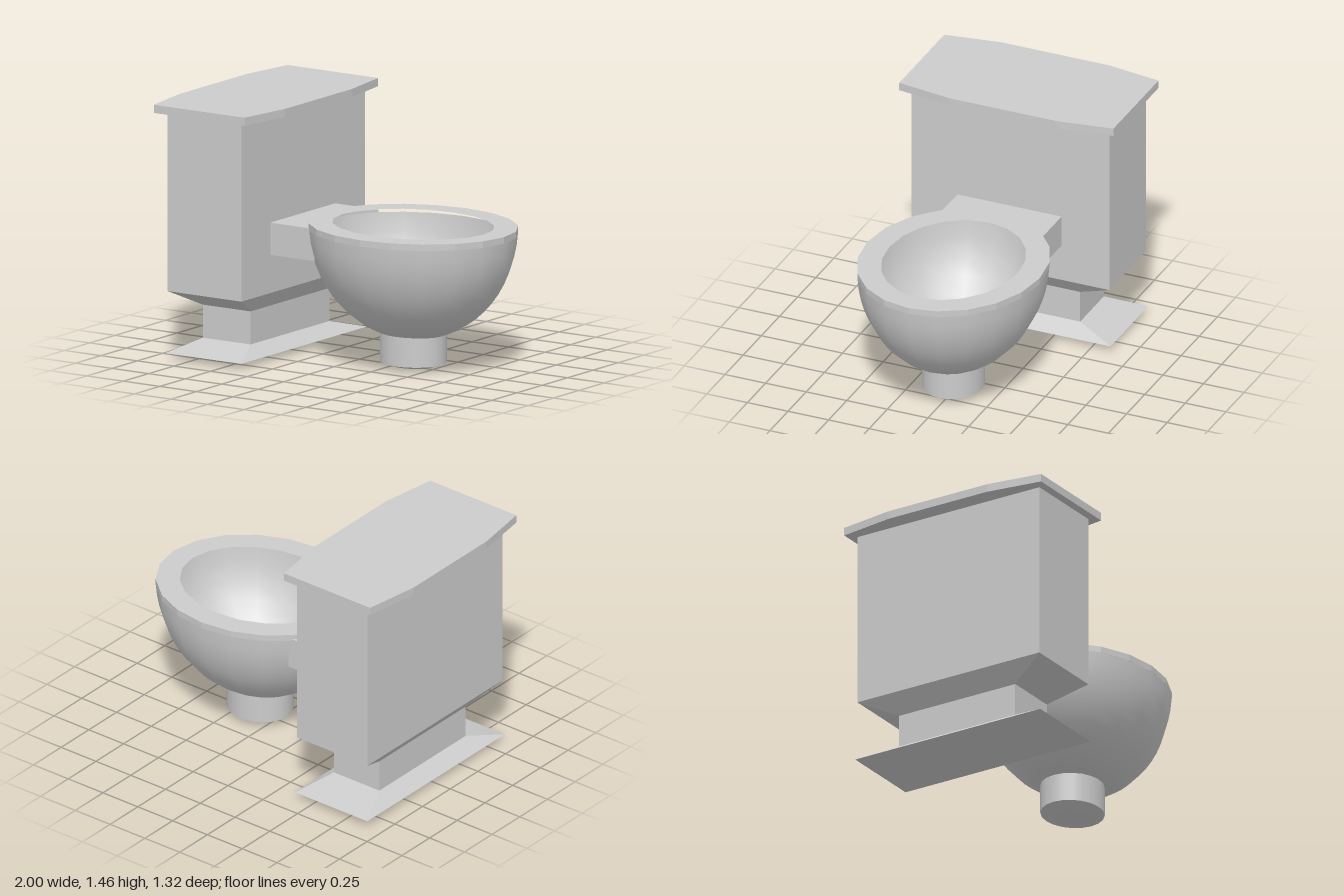
import * as THREE from 'three';

const SIDES = 20;
const CX = 0.375, CZ = 0.01; // bowl centre
const RX = 0.62, RZ = 0.53;  // outer bowl radii

const material = new THREE.MeshStandardMaterial({ color: 0xcccccc });
const thin = new THREE.MeshStandardMaterial({ color: 0xcccccc, side: THREE.DoubleSide });

function add(parent, name, geometry, mat = material) {
  const mesh = new THREE.Mesh(geometry, mat);
  mesh.name = name;
  parent.add(mesh);
  return mesh;
}

// Horizontal slab from a plan outline of [x, z] points
function slab(outline, y0, y1, hole) {
  const toV = ([x, z]) => new THREE.Vector2(x, -z);
  const shape = new THREE.Shape(outline.map(toV));
  if (hole) shape.holes.push(new THREE.Path(hole.map(toV)));
  const g = new THREE.ExtrudeGeometry(shape, { depth: y1 - y0, bevelEnabled: false });
  return g.rotateX(-Math.PI / 2).translate(0, y0, 0);
}

// Flat-sided stack of centred rectangles, bottom to top: [y, halfX, halfZ]
function rectLoft(sections, cx) {
  const pos = [], idx = [];
  for (const [y, hx, hz] of sections)
    pos.push(cx - hx, y, hz, cx + hx, y, hz, cx + hx, y, -hz, cx - hx, y, -hz);
  const n = sections.length;
  for (let i = 0; i < n - 1; i++)
    for (let j = 0; j < 4; j++) {
      const a = i * 4 + j, b = i * 4 + (j + 1) % 4;
      idx.push(a, b, b + 4, a, b + 4, a + 4);
    }
  const t = (n - 1) * 4;
  idx.push(0, 2, 1, 0, 3, 2, t, t + 1, t + 2, t, t + 2, t + 3);
  const g = new THREE.BufferGeometry();
  g.setAttribute('position', new THREE.Float32BufferAttribute(pos, 3));
  g.setIndex(idx);
  const flat = g.toNonIndexed();
  flat.computeVertexNormals();
  return flat;
}

function ellipse(rx, rz, from, to, steps) {
  return Array.from({ length: steps }, (_, i) => {
    const a = from + (to - from) * i / steps;
    return [CX + rx * Math.cos(a), CZ + rz * Math.sin(a)];
  });
}

// Elliptical surface of revolution about the bowl axis
function oval(points, squash = RZ / RX) {
  const g = new THREE.LatheGeometry(points.map(([r, y]) => new THREE.Vector2(r, y)), SIDES);
  return g.scale(1, 1, squash).translate(CX, 0, CZ);
}

// Part of an ellipsoid profile between two angles up from the pole
function arc(r, h, yTop, a0, a1, steps) {
  return Array.from({ length: steps + 1 }, (_, i) => {
    const a = a0 + (a1 - a0) * i / steps;
    return [Math.max(0, r * Math.sin(a)), yTop - h * Math.cos(a)];
  });
}

export function createModel() {
  const model = new THREE.Group();

  // Tank with a bow-sided lid
  const tank = new THREE.Group();
  tank.name = 'tank';
  model.add(tank);
  add(tank, 'tankBody', rectLoft([[0.39, 0.253, 0.61], [1.415, 0.253, 0.61]], -0.638));
  add(tank, 'tankLid', slab([
    [-1, 0.33], [-0.95, 0.66], [-0.33, 0.66], [-0.28, 0.33],
    [-0.28, -0.33], [-0.33, -0.66], [-0.95, -0.66], [-1, -0.33],
  ], 1.415, 1.462));

  // Waisted pedestal with a flared foot
  add(tank, 'tankPedestal', rectLoft([
    [0.035, 0.26, 0.62], [0.095, 0.163, 0.39], [0.285, 0.163, 0.39], [0.39, 0.253, 0.61],
  ], -0.638));

  // Bridge from tank to bowl, its end following the bowl wall
  const a = Math.asin(0.32 / (RZ * 0.95));
  const bridgeEnd = ellipse(RX * 0.95, RZ * 0.95, Math.PI - a, Math.PI + a, 8);
  add(model, 'bridge', slab([[-0.39, -0.315], [-0.39, 0.325], ...bridgeEnd, [-0.09, -0.315]], 0.61, 0.795));

  // Bowl: outer shell, rim with overhanging lip, hollow inside
  const bowl = new THREE.Group();
  bowl.name = 'bowl';
  model.add(bowl);
  add(bowl, 'bowlShell', oval(arc(RX, 0.652, 0.82, 0, 1.517, 14)));
  add(bowl, 'bowlRim', slab(
    ellipse(RX, RZ, 0, Math.PI * 2, SIDES), 0.785, 0.822,
    ellipse(0.485, 0.393, 0, Math.PI * 2, SIDES)));
  add(bowl, 'bowlInside', oval(arc(0.58, 0.59, 0.82, 1.51, 0, 8)), thin);

  // Outlet collar under the bowl, with a shallow domed end
  add(bowl, 'outletCollar', oval([[0.195, 0.035], [0.195, 0.21]], 0.9));
  add(bowl, 'outletEnd', oval([[0, 0], [0.07, 0.004], [0.14, 0.018], [0.195, 0.035]], 0.9));

  return model;
}
